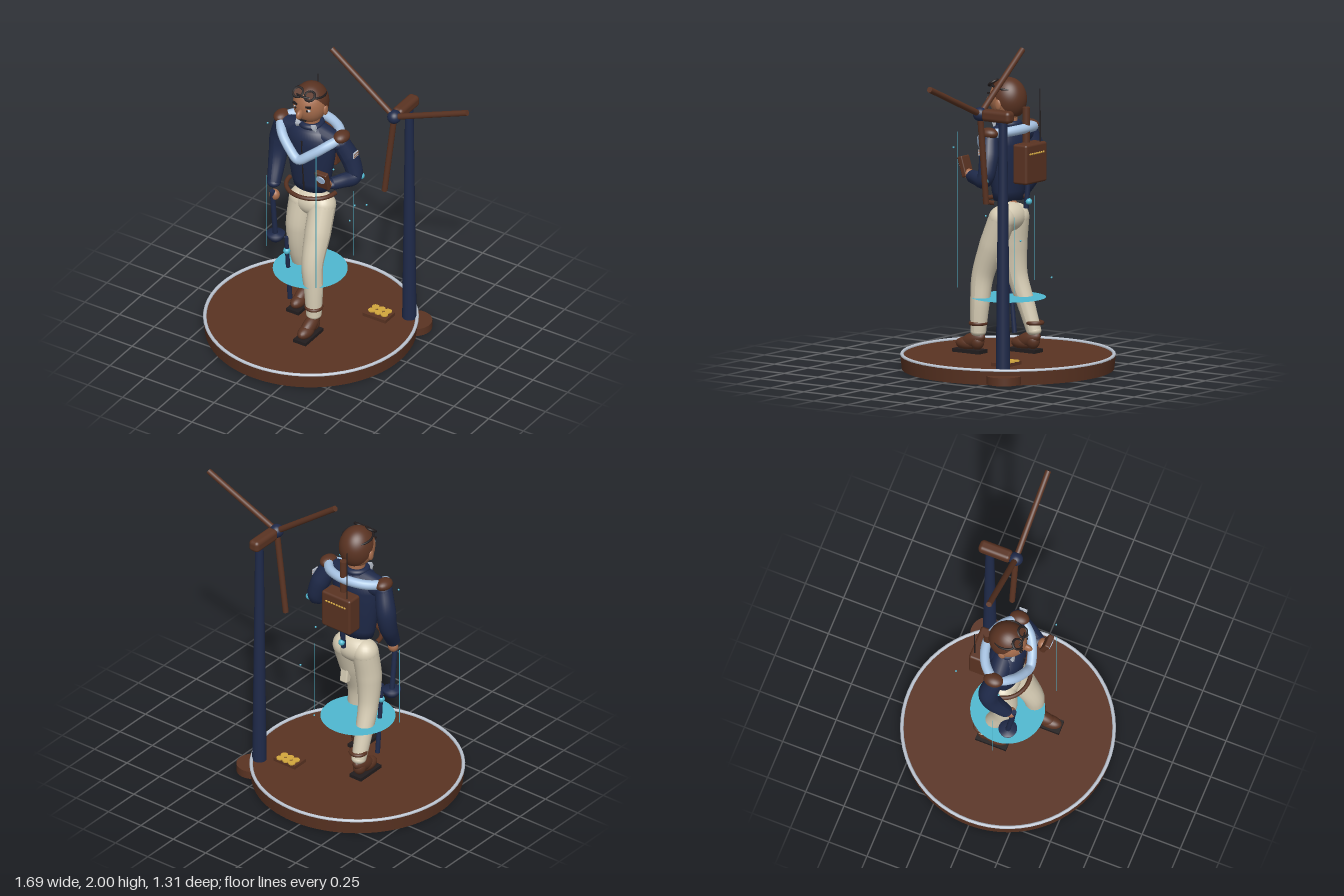
import * as THREE from 'three';
import { RoundedBoxGeometry } from 'three/addons/geometries/RoundedBoxGeometry.js';

const mat = (name, color, side = THREE.FrontSide) => {
  const m = new THREE.MeshStandardMaterial({ color, side });
  m.name = name;
  return m;
};
const V = (x, y, z) => new THREE.Vector3(x, y, z);

export function createModel() {
  const model = new THREE.Group();
  const brown = mat('leather brown', 0x5a3322), navy = mat('navy cloth', 0x1f2a4a);
  const skin = mat('skin', 0xa56c4c), cream = mat('cream cloth', 0xd6ccb4, THREE.DoubleSide);
  const blue = mat('pale blue', 0xa8c4e4), cyan = mat('cyan glow', 0x4fb8d0, THREE.DoubleSide);
  const gold = mat('gold', 0xd2a63c), dark = mat('near black', 0x221d1e), silver = mat('silver', 0xbcc4d0);

  const add = (name, geo, material, x = 0, y = 0, z = 0, parent = model) => {
    const m = new THREE.Mesh(geo, material);
    m.name = name;
    m.position.set(x, y, z);
    parent.add(m);
    return m;
  };
  const ball = (name, material, x, y, z, rx, ry = rx, rz = rx, parent = model) => {
    const m = add(name, new THREE.SphereGeometry(1, 24, 16), material, x, y, z, parent);
    m.scale.set(rx, ry, rz);
    return m;
  };
  const box = (name, material, x, y, z, w, h, d, parent = model) =>
    add(name, new THREE.BoxGeometry(w, h, d), material, x, y, z, parent);
  // straight rod from a to b
  const rod = (name, material, a, b, ra, rb = ra, parent = model) => {
    const dir = b.clone().sub(a);
    const m = add(name, new THREE.CylinderGeometry(rb, ra, dir.length(), 20), material, 0, 0, 0, parent);
    m.position.copy(a).add(b).multiplyScalar(0.5);
    m.quaternion.setFromUnitVectors(V(0, 1, 0), dir.normalize());
    return m;
  };
  // curved limb whose radius varies along its path
  const limb = (name, material, pts, radii, parent = model) => {
    const curve = new THREE.CatmullRomCurve3(pts), n = 28, s = 18;
    const geo = new THREE.TubeGeometry(curve, n, 1, s), p = geo.attributes.position, v = V();
    for (let i = 0; i <= n; i++) {
      const c = curve.getPointAt(i / n), t = (i / n) * (radii.length - 1);
      const k = Math.min(Math.floor(t), radii.length - 2);
      const r = THREE.MathUtils.lerp(radii[k], radii[k + 1], t - k);
      for (let j = 0; j <= s; j++) {
        const id = i * (s + 1) + j;
        v.fromBufferAttribute(p, id).sub(c).multiplyScalar(r).add(c);
        p.setXYZ(id, v.x, v.y, v.z);
      }
    }
    geo.computeVertexNormals();
    add(name, geo, material, 0, 0, 0, parent);
    const e = pts.length - 1, last = radii.length - 1;
    ball(name + 'Start', material, pts[0].x, pts[0].y, pts[0].z, radii[0], radii[0], radii[0], parent);
    ball(name + 'End', material, pts[e].x, pts[e].y, pts[e].z, radii[last], radii[last] * 0.7, radii[last], parent);
  };
  const lathe = (pts) => new THREE.LatheGeometry(pts.map(([r, y]) => new THREE.Vector2(r, y)), 48);
  const ring = (name, material, x, y, z, r, tube, arc = Math.PI * 2, parent = model) => {
    const m = add(name, new THREE.TorusGeometry(r, tube, 10, 64, arc), material, x, y, z, parent);
    m.rotation.x = Math.PI / 2;
    return m;
  };

  // round display base
  const cx = -0.19;
  add('base', new THREE.CylinderGeometry(0.655, 0.645, 0.085, 96), brown, cx, 0.0425, 0);
  ring('baseRim', silver, cx, 0.088, 0, 0.645, 0.011);
  add('towerFoot', new THREE.CylinderGeometry(0.105, 0.105, 0.05, 40), brown, 0.34, 0.033, -0.345);

  // supply tray with gold cells
  box('cellTray', brown, 0.152, 0.097, -0.23, 0.165, 0.022, 0.11);
  for (let i = 0; i < 3; i++) for (let j = 0; j < 2; j++)
    add('goldCell', new THREE.CylinderGeometry(0.023, 0.023, 0.008, 20), gold, 0.106 + i * 0.045, 0.111, -0.267 + j * 0.042);

  // wind turbine
  const turbine = new THREE.Group();
  turbine.name = 'windTurbine';
  model.add(turbine);
  const hub = V(0.315, 1.645, -0.15);
  rod('tower', navy, V(0.315, 0.08, -0.32), V(0.315, 1.63, -0.32), 0.044, 0.026, turbine);
  const nacelle = add('nacelle', new RoundedBoxGeometry(0.075, 0.075, 0.21, 4, 0.025), brown, 0.315, 1.645, -0.282, turbine);
  nacelle.castShadow = false;
  ball('hub', navy, hub.x, hub.y, hub.z, 0.043, 0.043, 0.045, turbine);
  for (const [x, y] of [[-0.135, 1.983], [0.842, 1.866], [0.247, 1.085]])
    rod('blade', brown, hub, V(x, y, -0.147), 0.019, 0.018, turbine);

  // the figure
  const figure = new THREE.Group();
  figure.name = 'figure';
  model.add(figure);

  // head
  const hy = 1.66;
  ball('head', skin, cx, hy, 0.003, 0.105, 0.13, 0.115, figure);
  const hair = add('hair', new THREE.SphereGeometry(1, 36, 18, 0, Math.PI * 2, 0, Math.PI / 2).rotateX(-0.85),
    brown, cx, hy, 0, figure);
  hair.scale.set(0.109, 0.134, 0.119);
  hair.material = brown;
  rod('neck', skin, V(cx, 1.46, -0.01), V(cx, 1.58, -0.005), 0.055, 0.052, figure);
  ball('nose', skin, cx, 1.635, 0.125, 0.018, 0.032, 0.035, figure);
  box('mouth', dark, cx, 1.578, 0.093, 0.05, 0.01, 0.012, figure);
  for (const s of [-1, 1]) {
    const x = cx + s * 0.042;
    ball('eye', silver, x, 1.664, 0.1, 0.018, 0.01, 0.01, figure);
    ball('pupil', dark, x, 1.664, 0.108, 0.008, 0.008, 0.005, figure);
    const brow = box('eyebrow', dark, x, 1.69, 0.104, 0.044, 0.012, 0.012, figure);
    brow.rotation.z = s * 0.15;
    ball('ear', skin, cx + s * 0.106, 1.635, 0, 0.012, 0.034, 0.022, figure);
    // raised goggles
    const lens = add('goggleRim', new THREE.TorusGeometry(0.032, 0.008, 8, 28), dark, x, 1.757, 0.078, figure);
    lens.rotation.x = -0.95;
    const glass = add('goggleLens', new THREE.CylinderGeometry(0.03, 0.03, 0.008, 24), brown, x, 1.757, 0.076, figure);
    glass.rotation.x = 0.62;
    const wing = add('collarWing', new THREE.ConeGeometry(0.03, 0.07, 4), silver, cx + s * 0.035, 1.515, 0.055, figure);
    wing.rotation.z = s * Math.PI / 2;
    wing.scale.z = 0.5;
  }
  const strap = ring('goggleStrap', dark, cx, 1.735, 0.005, 0.094, 0.007, Math.PI * 2, figure);
  strap.rotation.x = Math.PI / 2 - 0.15;
  ring('jacketCollar', navy, cx, 1.51, -0.005, 0.062, 0.02, Math.PI * 2, figure);

  // jacket
  const torso = add('jacket', lathe([[0.001, 1.04], [0.115, 1.045], [0.13, 1.1], [0.147, 1.2], [0.163, 1.3],
    [0.17, 1.39], [0.165, 1.44], [0.13, 1.48], [0.07, 1.515], [0.001, 1.52]]), navy, cx, 0, -0.003, figure);
  torso.scale.z = 0.64;
  limb('shoulderYoke', navy, [V(-0.38, 1.43, 0), V(cx, 1.45, -0.01), V(0, 1.43, 0)], [0.06, 0.075, 0.06], figure);
  rod('zip', dark, V(cx, 1.06, 0.08), V(cx, 1.43, 0.106), 0.005, 0.005, figure);
  // rolled scarf
  const scarf = [[0, 1.315, 0.145], [0.07, 1.36, 0.13], [0.16, 1.43, 0.08], [0.205, 1.465, 0], [0.14, 1.48, -0.09],
    [0, 1.49, -0.135], [-0.14, 1.48, -0.09], [-0.205, 1.465, 0], [-0.16, 1.43, 0.08], [-0.07, 1.36, 0.13]];
  add('scarf', new THREE.TubeGeometry(new THREE.CatmullRomCurve3(scarf.map(([x, y, z]) => V(cx + x, y, z)), true),
    90, 0.03, 14, true), blue, 0, 0, 0, figure);
  for (const s of [-1, 1]) ball('shoulderPad', brown, cx + s * 0.215, 1.475, -0.01, 0.047, 0.036, 0.062, figure);
  const belt = ring('belt', brown, cx, 1.04, -0.02, 0.163, 0.014, Math.PI, figure);
  belt.scale.y = 0.95;

  // arms and hands
  limb('rightArm', navy, [V(-0.40, 1.43, -0.01), V(-0.435, 1.3, -0.03), V(-0.435, 1.18, -0.01), V(-0.412, 1.03, 0.07)],
    [0.055, 0.062, 0.055, 0.042], figure);
  ball('rightHand', skin, -0.388, 0.965, 0.1, 0.033, 0.036, 0.03, figure);
  limb('leftArm', navy, [V(0.02, 1.43, -0.01), V(0.075, 1.3, -0.04), V(0.1, 1.2, -0.03), V(0.065, 1.2, 0.05), V(0.03, 1.2, 0.11)],
    [0.055, 0.06, 0.054, 0.046, 0.04], figure);
  ball('leftHand', skin, 0.015, 1.21, 0.145, 0.035, 0.032, 0.03, figure);
  ball('elbowLight', cyan, 0.135, 1.2, -0.06, 0.021, 0.021, 0.021, figure);
  box('sleevePatch', silver, 0.118, 1.37, -0.022, 0.008, 0.036, 0.05, figure);
  for (const y of [1.361, 1.379]) box('patchStripe', skin, 0.119, y, -0.022, 0.008, 0.007, 0.05, figure);

  // handheld gauge
  const gauge = new THREE.Group();
  gauge.name = 'handheldGauge';
  gauge.position.set(0.008, 1.255, 0.175);
  gauge.rotation.x = 0.3;
  figure.add(gauge);
  add('gaugeCase', new RoundedBoxGeometry(0.085, 0.13, 0.035, 3, 0.008), brown, 0, 0, 0, gauge);
  add('gaugeDial', new THREE.CylinderGeometry(0.03, 0.03, 0.008, 28), blue, 0, 0.02, 0.02, gauge).rotation.x = Math.PI / 2;

  // scoop tool in the right hand
  rod('scoopHandle', navy, V(-0.392, 1.0, 0.12), V(-0.395, 0.66, 0.08), 0.016, 0.016, figure);
  add('scoopBowl', lathe([[0.001, 0], [0.03, 0.008], [0.05, 0.03], [0.057, 0.06], [0.001, 0.06]]), navy, -0.393, 0.612, 0.08, figure);

  // trousers
  ball('hips', cream, -0.183, 0.935, -0.01, 0.142, 0.09, 0.088, figure);
  limb('leftLeg', cream, [V(-0.112, 0.93, -0.01), V(-0.105, 0.75, 0.06), V(-0.1, 0.57, 0.125), V(-0.085, 0.4, 0.135), V(-0.078, 0.23, 0.142)],
    [0.083, 0.082, 0.069, 0.06, 0.048], figure);
  limb('rightLeg', cream, [V(-0.258, 0.93, -0.01), V(-0.272, 0.75, 0.01), V(-0.28, 0.57, -0.005), V(-0.29, 0.4, -0.06), V(-0.295, 0.23, -0.118)],
    [0.083, 0.08, 0.064, 0.055, 0.046], figure);
  add('thighPouch', new RoundedBoxGeometry(0.055, 0.12, 0.045, 3, 0.01), cream, -0.105, 0.715, -0.005, figure).rotation.x = 0.15;

  // ankle bands and shoes
  for (const [side, x, z, band] of [['left', -0.078, 0.2, 0.143], ['right', -0.295, -0.06, -0.125]]) {
    ring(side + 'AnkleBand', brown, x, 0.28, band, 0.046, 0.012, Math.PI * 2, figure);
    const shoe = new THREE.Group();
    shoe.name = side + 'Shoe';
    shoe.position.set(x, 0, z);
    figure.add(shoe);
    box('sole', dark, 0, 0.106, 0.005, 0.09, 0.022, 0.2, shoe);
    ball('toe', brown, 0, 0.148, 0.03, 0.043, 0.04, 0.075, shoe);
    const upper = ball('upper', brown, 0, 0.172, -0.015, 0.042, 0.046, 0.095, shoe);
    upper.rotation.x = 0.35;
    ball('heel', brown, 0, 0.165, -0.05, 0.04, 0.05, 0.045, shoe);
  }

  // backpack, bedroll and aerial
  add('backpack', new RoundedBoxGeometry(0.22, 0.245, 0.105, 4, 0.015), brown, cx, 1.282, -0.163, figure);
  for (let i = 0; i < 8; i++) ball('packStud', gold, -0.26 + i * 0.02, 1.345, -0.215, 0.009, 0.007, 0.005, figure);
  rod('bedroll', brown, V(cx, 1.39, -0.135), V(cx, 1.62, -0.135), 0.023, 0.023, figure);
  rod('aerial', dark, V(-0.26, 1.39, -0.19), V(-0.26, 1.73, -0.19), 0.004, 0.003, figure);
  rod('packTorch', navy, V(cx, 1.0, -0.135), V(cx, 1.17, -0.15), 0.016, 0.016, figure);
  ball('torchLight', cyan, cx, 1.042, -0.155, 0.02, 0.02, 0.02, figure);

  // cane beside the right leg
  rod('cane', navy, V(-0.315, 0.67, 0.083), V(-0.315, 0.2, 0.04), 0.012, 0.015, figure);
  ball('caneLight', cyan, -0.315, 0.565, 0.077, 0.022, 0.022, 0.022, figure);

  // floating disc, light lines and sparks
  const disc = add('floatingDisc', new THREE.CircleGeometry(0.228, 64), cyan, -0.195, 0.44, 0);
  disc.rotation.x = -Math.PI / 2;
  for (const [x, z, top] of [[0, 0.24, 1.46], [-0.5, 0.02, 1.02], [0, -0.18, 0.97]])
    rod('lightLine', cyan, V(x, 0.5, z), V(x, top, z), 0.002);
  for (const [x, y, z] of [[0.1, 0.98, -0.04], [0.045, 0.84, -0.26], [-0.47, 1.43, 0.05], [-0.14, 0.6, -0.36], [0.1, 1.38, 0.2]])
    ball('spark', cyan, x, y, z, 0.006);

  return model;
}
